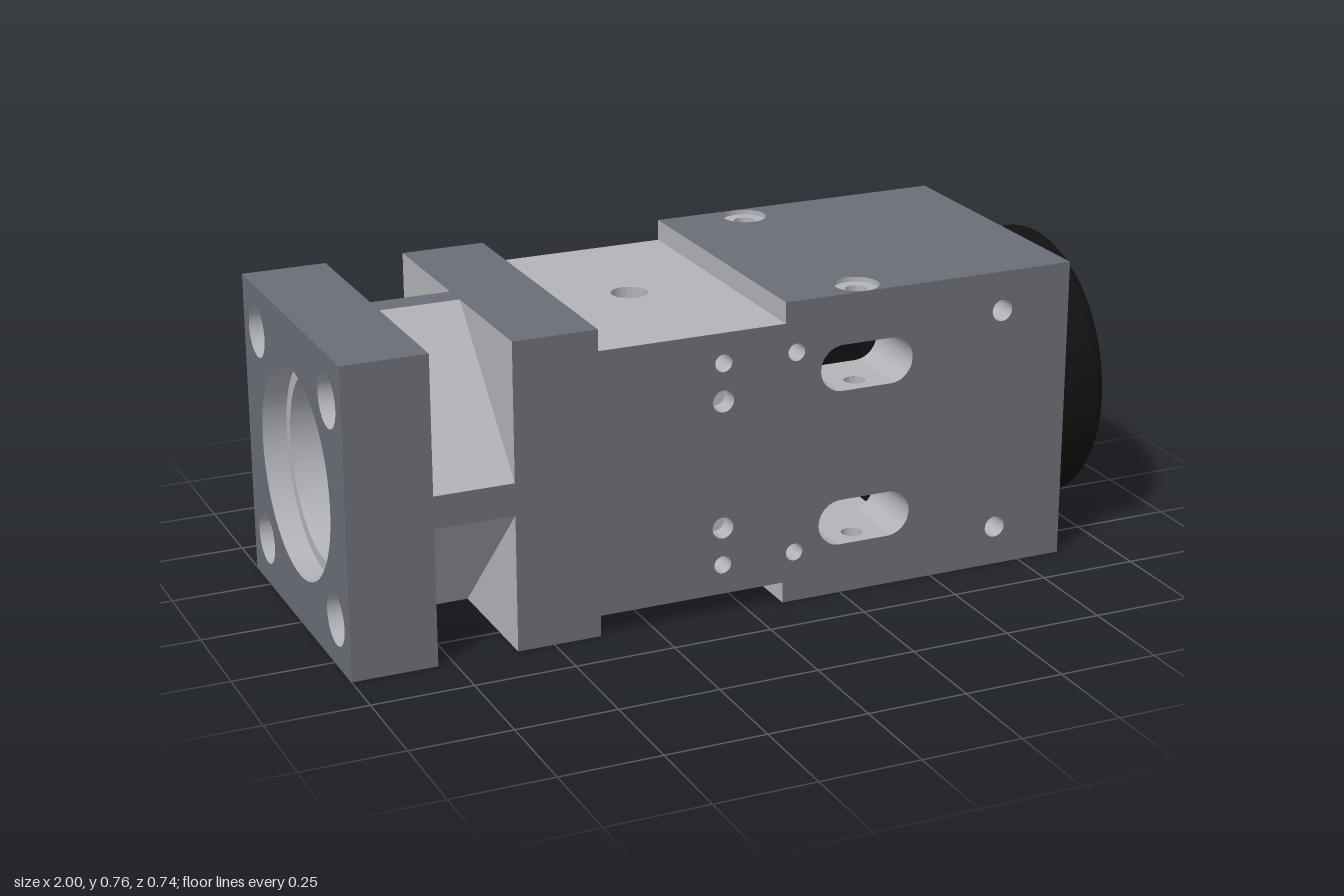
import * as THREE from 'three';
import { toCreasedNormals } from 'three/addons/utils/BufferGeometryUtils.js';

const H = 0.3825, W = 0.369;               // half height and half depth of the block
const GROOVE = 0.33;                       // half height at the cross grooves
const X = { end: -1, plate: -0.79, neck: -0.592, g0: -0.382, g1: 0.095, face: 0.865 };
const BORE = 0.23, TUBE = 0.165;
const SLOT = { x0: 0.19, x1: 0.436, y: 0.198, r: 0.058 };
const SLOT_Z = Math.sqrt(BORE ** 2 - (SLOT.y - SLOT.r) ** 2); // where slots meet the bore
const SCREW = { x: 0.31, z: 0.311, r: 0.026, head: 0.056 };

const mat = (color) => new THREE.MeshStandardMaterial({ color, side: THREE.DoubleSide });

export function createModel() {
  const model = new THREE.Group();
  model.name = 'machinedBlock';
  const root = new THREE.Group();
  root.name = 'assembly';
  root.position.y = H;
  model.add(root);
  const paint = mat(0x6b6e76), bare = mat(0xb2b4b9), black = mat(0x121212);

  const add = (name, geometry, material) => {
    const mesh = new THREE.Mesh(geometry, material);
    mesh.name = name;
    root.add(mesh);
    return mesh;
  };
  const rect = (u0, u1, v0, v1) => [[u0, v0], [u1, v0], [u1, v1], [u0, v1]];
  const disc = (u, v, r) => {
    const p = new THREE.Path();
    p.absarc(u, v, r, 0, Math.PI * 2);
    return p;
  };

  // Flat face across an axis; outlines are (x,y) for z, (x,z) for y, (z,y) for x
  const vec = (x, y, z) => new THREE.Vector3(x, y, z);
  const bases = {
    z: [vec(1, 0, 0), vec(0, 1, 0), 1],
    y: [vec(1, 0, 0), vec(0, 0, 1), -1],
    x: [vec(0, 0, 1), vec(0, 1, 0), -1],
  };
  function sheet(name, material, axis, at, facing, outline, holes = []) {
    const shape = Array.isArray(outline)
      ? new THREE.Shape(outline.map(([u, v]) => new THREE.Vector2(u, v)))
      : new THREE.Shape(outline.getPoints(32));
    shape.holes.push(...holes);
    const g = new THREE.ShapeGeometry(shape, 32);
    const [u, v, natural] = bases[axis];
    const m = new THREE.Matrix4().makeBasis(u, v, u.clone().cross(v));
    m.setPosition(axis === 'x' ? at : 0, axis === 'y' ? at : 0, axis === 'z' ? at : 0);
    g.applyMatrix4(m);
    if (facing !== natural) g.index.array.reverse();
    g.computeVertexNormals();
    add(name, g, material);
  }

  // Open round wall along an axis, centred at the same (u,v) pairs as sheet()
  function wall(name, material, axis, r, from, to, u = 0, v = 0, start = 0, sweep = Math.PI * 2) {
    const g = new THREE.CylinderGeometry(r, r, Math.abs(to - from), r > 0.1 ? 64 : 28, 1, true, start, sweep);
    const mid = (from + to) / 2;
    if (axis === 'x') g.rotateZ(-Math.PI / 2).translate(mid, v, u);
    else if (axis === 'z') g.rotateX(Math.PI / 2).translate(u, v, mid);
    else g.translate(u, mid, v);
    add(name, g, material);
  }
  const square = rect(-W, W, -H, H);

  // End plate with counterbore and four bolt holes
  const bolts = [-1, 1].flatMap((a) => [-1, 1].map((b) => [a * 0.267, b * 0.267]));
  const boltHoles = () => bolts.map(([z, y]) => disc(z, y, 0.064));
  sheet('endPlateOuterFace', paint, 'x', X.end, -1, square, [disc(0, 0, 0.26), ...boltHoles()]);
  sheet('endPlateInnerFace', bare, 'x', X.plate, 1, square, [disc(0, 0, BORE), ...boltHoles()]);
  for (const s of [-1, 1]) {
    sheet('endPlateEdge', paint, 'y', s * H, s, rect(X.end, X.plate, -W, W));
    sheet('endPlateSide', paint, 'z', s * W, s, rect(X.end, X.plate, -H, H));
  }
  bolts.forEach(([z, y]) => wall('boltHole', bare, 'x', 0.064, X.end, X.plate, z, y));
  wall('counterbore', bare, 'x', 0.26, X.end, -0.94);
  sheet('counterboreStep', bare, 'x', -0.94, -1, disc(0, 0, 0.26), [disc(0, 0, BORE)]);

  // Central bore, opened sideways where the slots cross it
  wall('bore', bare, 'x', BORE, X.end + 0.06, SLOT.x0);
  const arc = Math.asin((SLOT.y - SLOT.r) / BORE);
  for (const c of [0, Math.PI])
    wall('boreSide', black, 'x', BORE, SLOT.x0, SLOT.x1, 0, 0, c - arc, 2 * arc);
  const q = SLOT.y + SLOT.r;
  sheet('slotPocketEnd', bare, 'x', SLOT.x0, 1, rect(-q, q, -q, q), [disc(0, 0, BORE)]);
  sheet('slotPocketEnd', black, 'x', SLOT.x1, -1, rect(-q, q, -q, q), [disc(0, 0, TUBE)]);

  // Diamond neck with four narrow flats
  const tipZ = 0.033, tipY = 0.04, dz = W - tipZ, dy = H - tipY;
  for (const sy of [-1, 1]) {
    for (const sz of [-1, 1]) {
      const g = new THREE.PlaneGeometry(X.neck - X.plate, Math.hypot(dz, dy));
      g.rotateX(-Math.atan2(dz, dy));
      g.translate((X.plate + X.neck) / 2, (H + tipY) / 2, (W + tipZ) / 2);
      add('neckSlope', g, bare).scale.set(1, sy, sz);
    }
    sheet('neckEdgeFlat', paint, 'y', sy * H, sy, rect(X.plate, X.neck, -tipZ, tipZ));
    sheet('neckSideFlat', paint, 'z', sy * W, sy, rect(X.plate, X.neck, -tipY, tipY),
      sy < 0 ? [disc(-0.69, 0, 0.02)] : []);
  }
  wall('neckPinHole', bare, 'z', 0.02, -W, -BORE, -0.69, 0);

  // Block ends
  sheet('blockNeckFace', bare, 'x', X.neck, -1, square, [disc(0, 0, BORE)]);
  sheet('blockRingFace', paint, 'x', X.face, 1, square, [disc(0, 0, 0.2)]);

  // Block sides: stepped outline, slots and blind holes
  const half = [[X.neck, H], [X.g0, H], [X.g0, GROOVE], [X.g1, GROOVE], [X.g1, H], [X.face, H]];
  const profile = [...half.map(([x, y]) => [x, -y]), ...half.slice().reverse()];
  const xa = SLOT.x0 + SLOT.r, xb = SLOT.x1 - SLOT.r;
  const slotPath = (y) => {
    const p = new THREE.Path();
    p.absarc(xa, y, SLOT.r, Math.PI / 2, Math.PI * 1.5);
    p.absarc(xb, y, SLOT.r, -Math.PI / 2, Math.PI / 2);
    p.closePath();
    return p;
  };
  for (const s of [-1, 1]) {
    const blind = [-1, 1].flatMap((b) => [
      [-0.065, b * 0.255, 0.022, 0.08, black],
      [0.125, b * 0.255, 0.022, 0.08, black],
      [-0.065, b * 0.16, 0.027, 0.05, bare],
      s > 0 ? [0.68, b * 0.283, 0.027, 0.1, black] : [0.685, b * 0.283, 0.047, 0.12, bare],
    ]);
    sheet('blockSide', paint, 'z', s * W, s, profile,
      [slotPath(SLOT.y), slotPath(-SLOT.y), ...blind.map(([x, y, r]) => disc(x, y, r))]);
    for (const [x, y, r, depth, floor] of blind) {
      wall('sideHole', bare, 'z', r, s * W, s * (W - depth), x, y);
      sheet('sideHoleFloor', floor, 'z', s * (W - depth), s, disc(x, y, r));
    }
    // Slot tunnels from this side to the bore
    for (const b of [-1, 1]) {
      const z0 = s * SLOT_Z, z1 = s * W, y = b * SLOT.y;
      wall('slotEnd', bare, 'z', SLOT.r, z0, z1, xa, y, Math.PI, Math.PI);
      wall('slotEnd', bare, 'z', SLOT.r, z0, z1, xb, y, 0, Math.PI);
      for (const e of [-1, 1])
        sheet('slotWall', bare, 'y', y + e * SLOT.r, -e,
          rect(xa, xb, Math.min(z0, z1), Math.max(z0, z1)), [disc(SCREW.x, s * SCREW.z, SCREW.r)]);
    }
  }

  // Top and bottom faces with the cross grooves
  for (const s of [-1, 1]) {
    const headR = s > 0 ? SCREW.head : SCREW.r;
    sheet('blockCollar', paint, 'y', s * H, s, rect(X.neck, X.g0, -W, W));
    sheet('blockCover', paint, 'y', s * H, s, rect(X.g1, X.face, -W, W),
      [-1, 1].map((k) => disc(SCREW.x, k * SCREW.z, headR)));
    sheet('grooveFloor', bare, 'y', s * GROOVE, s, rect(X.g0, X.g1, -W, W),
      s > 0 ? [disc(-0.145, 0, 0.045)] : []);
    const [lo, hi] = s > 0 ? [GROOVE, H] : [-H, -GROOVE];
    sheet('grooveStep', bare, 'x', X.g0, 1, rect(-W, W, lo, hi));
    sheet('grooveStep', bare, 'x', X.g1, -1, rect(-W, W, lo, hi));
    sheet('slotPocketRoof', bare, 'y', s * q, -s, rect(SLOT.x0, SLOT.x1, -SLOT_Z, SLOT_Z));
    // Vertical screw holes crossing both slots
    const z = s * SCREW.z, inner = SLOT.y - SLOT.r, seat = H - 0.012;
    wall('screwHead', bare, 'y', SCREW.head, seat, H, SCREW.x, z);
    sheet('screwSeat', bare, 'y', seat, 1, disc(SCREW.x, z, SCREW.head), [disc(SCREW.x, z, SCREW.r)]);
    for (const [a, b] of [[q, seat], [-inner, inner], [-H, -q]])
      wall('screwHole', bare, 'y', SCREW.r, a, b, SCREW.x, z);
  }

  // Counterbored hole in the top groove
  const sink = GROOVE - 0.03;
  wall('grooveHoleHead', bare, 'y', 0.045, sink, GROOVE, -0.145, 0);
  sheet('grooveHoleSeat', bare, 'y', sink, 1, disc(-0.145, 0, 0.045), [disc(-0.145, 0, 0.016)]);
  wall('grooveHole', bare, 'y', 0.016, BORE, sink, -0.145, 0);
  sheet('grooveHoleFloor', black, 'y', BORE + 0.01, 1, disc(-0.145, 0, 0.016));

  // Black end ring with its inner tube, turned about x
  const ring = [[TUBE, SLOT.x1], [TUBE, 0.9], [0.19, 0.965], [0.198, 0.985], [0.21, 0.997], [0.225, 1],
    [0.325, 1], [0.337, 0.996], [0.346, 0.987], [0.35, 0.972], [0.35, X.face]];
  const lathe = new THREE.LatheGeometry(ring.map(([r, x]) => new THREE.Vector2(r, x)), 80);
  lathe.rotateZ(-Math.PI / 2);
  add('endRing', toCreasedNormals(lathe, 0.7), black);

  return model;
}
